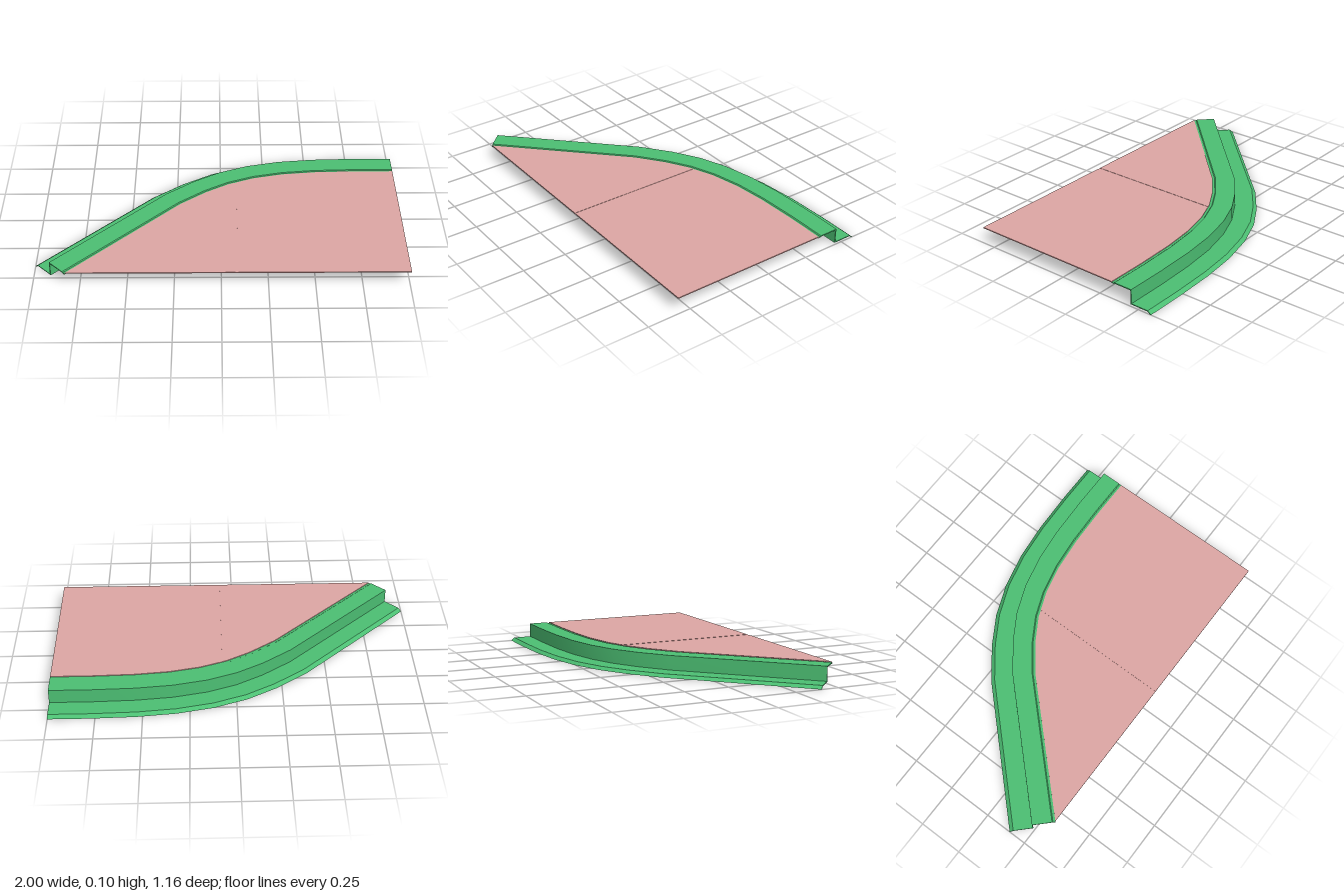
import * as THREE from 'three';
import { toCreasedNormals } from 'three/addons/utils/BufferGeometryUtils.js';

const V = (x, y) => new THREE.Vector2(x, y);

// Outer edge of the rail in plan (x, z), from the angled end to the straight end
const OUTER = [[-1, 0.4], [-0.39, -0.21], [-0.22, -0.34], [-0.06, -0.435], [0.12, -0.505],
  [0.32, -0.55], [0.53, -0.572], [0.77, -0.58], [1, -0.58]].map(p => V(...p));

// Z-shaped section (inward offset, height), counter-clockwise
const SECTION = [[0, 0], [0.007, 0], [0.022, 0.012], [0.129, 0.012], [0.129, 0.091],
  [0.229, 0.091], [0.233, 0.088], [0.25, 0.088], [0.25, 0.093], [0.236, 0.093], [0.231, 0.097],
  [0.123, 0.097], [0.123, 0.017], [0.02, 0.017]].map(p => V(...p));

// Mitred inward direction at each path point
const INWARD = OUTER.map((p, i) => {
  const normal = (a, b) => { const t = b.clone().sub(a).normalize(); return V(-t.y, t.x); };
  const before = i > 0 ? normal(OUTER[i - 1], p) : null;
  const after = i < OUTER.length - 1 ? normal(p, OUTER[i + 1]) : null;
  const n = (before || after).clone().add(after || before).normalize();
  return n.divideScalar(n.dot(before || after));
});

const offset = (i, d) => OUTER[i].clone().addScaledVector(INWARD[i], d);

function railGeometry() {
  const pos = [];
  const put = (i, j) => {
    const s = SECTION[j % SECTION.length], p = offset(i, s.x);
    pos.push(p.x, s.y, p.y);
  };
  const last = OUTER.length - 1;
  for (let i = 0; i < last; i++) {
    for (let j = 0; j < SECTION.length; j++) {
      put(i + 1, j); put(i + 1, j + 1); put(i, j + 1);
      put(i + 1, j); put(i, j + 1); put(i, j);
    }
  }
  // End caps
  for (const [a, b, c] of THREE.ShapeUtils.triangulateShape(SECTION, [])) {
    put(0, a); put(0, b); put(0, c);
    put(last, a); put(last, c); put(last, b);
  }
  const g = new THREE.BufferGeometry();
  g.setAttribute('position', new THREE.Float32BufferAttribute(pos, 3));
  return toCreasedNormals(g, 0.45);
}

// Horizontal slab from a plan outline of (x, z) points
function slab(points, y, height) {
  const shape = new THREE.Shape(points.map(p => V(p.x, -p.y)));
  const g = new THREE.ExtrudeGeometry(shape, { depth: height, bevelEnabled: false });
  return g.rotateX(-Math.PI / 2).translate(0, y, 0);
}

export function createModel() {
  const model = new THREE.Group();
  const green = new THREE.MeshStandardMaterial({ color: 0x4cbf73 });
  const pink = new THREE.MeshStandardMaterial({ color: 0xdda6a4 });
  const add = (name, geometry, material) => {
    const mesh = new THREE.Mesh(geometry, material);
    mesh.name = name;
    model.add(mesh);
  };

  add('edgeRail', railGeometry(), green);

  // Panels follow the inner edge of the rail and meet at a shallow joint
  const front = 0.573;
  const inner = OUTER.map((p, i) => offset(i, 0.249));
  const zAt = x => {
    const k = inner.findIndex(p => p.x > x), a = inner[k - 1], b = inner[k];
    return THREE.MathUtils.lerp(a.y, b.y, (x - a.x) / (b.x - a.x));
  };
  inner[0].set(inner[0].x + inner[0].y - front, front);
  const x0 = 0.073, x1 = 0.089;
  add('anglePanel', slab([...inner.filter(p => p.x < x0), V(x0, zAt(x0)), V(x0, front)], 0.091, 0.006), pink);
  add('straightPanel', slab([V(x1, zAt(x1)), ...inner.filter(p => p.x > x1), V(1, front), V(x1, front)], 0.091, 0.006), pink);
  add('panelJoint', slab([V(x0, zAt(x0)), V(x1, zAt(x1)), V(x1, front), V(x0, front)], 0.0925, 0.003), pink);
  return model;
}
